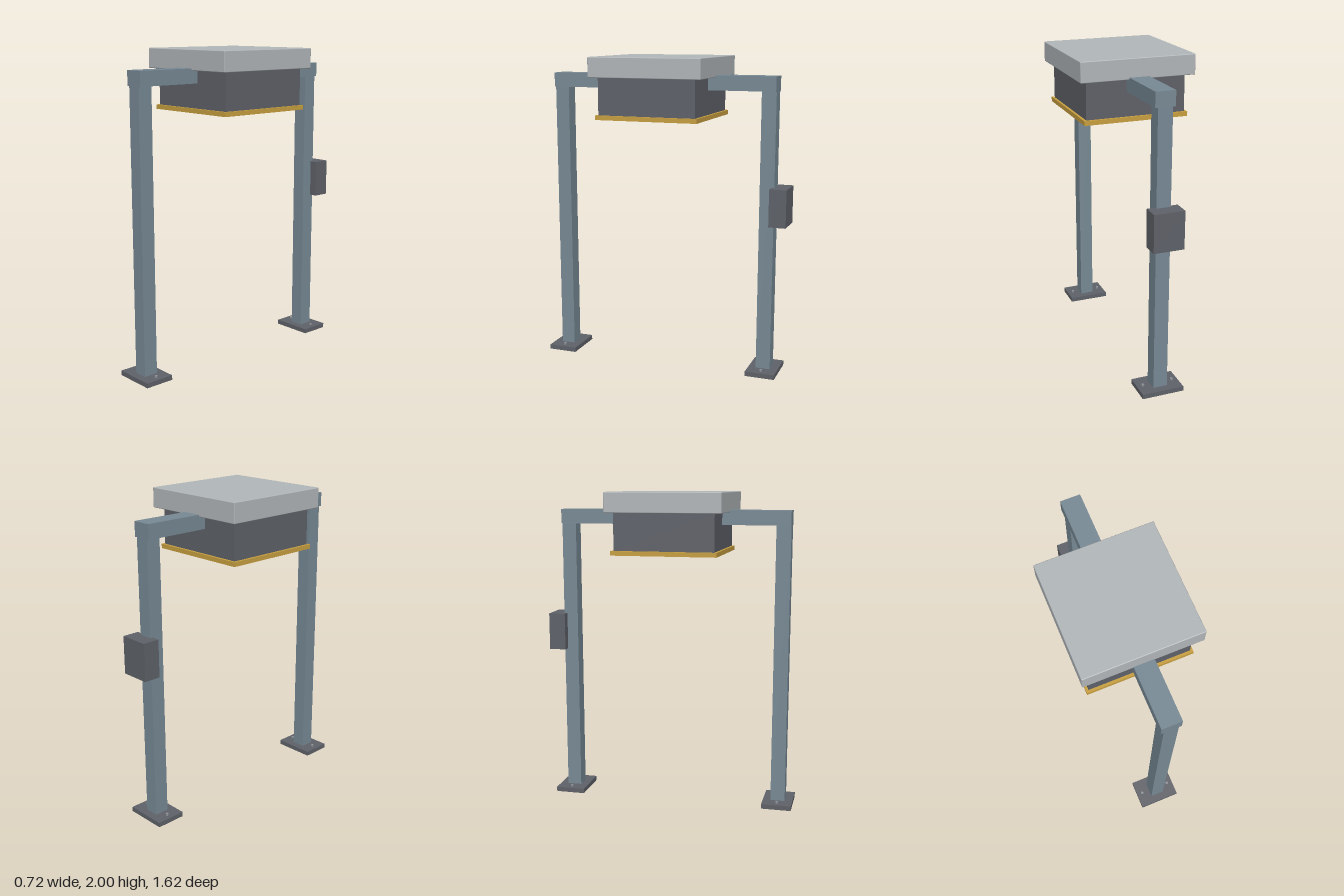
import * as THREE from 'three';
import { RoundedBoxGeometry } from 'three/addons/geometries/RoundedBoxGeometry.js';

const material = (name, color) => {
  const m = new THREE.MeshStandardMaterial({ color });
  m.name = name;
  return m;
};

export function createModel() {
  const steel = material('blue grey steel', 0x788a95);
  const dark = material('dark grey metal', 0x5f6269);
  const light = material('light grey metal', 0xb2b7ba);
  const gold = material('gold trim', 0xc9a040);
  const bolt = material('bolt metal', 0x8f9499);

  const model = new THREE.Group();
  model.name = 'overheadGantry';

  // Box given by its x half-width and its y and z ranges
  const addBox = (name, mat, halfX, [y0, y1], [z0, z1], bevel = 0) => {
    const size = [halfX * 2, y1 - y0, z1 - z0];
    const geometry = bevel ? new RoundedBoxGeometry(...size, 2, bevel) : new THREE.BoxGeometry(...size);
    const mesh = new THREE.Mesh(geometry, mat);
    mesh.name = name;
    mesh.position.set(0, (y0 + y1) / 2, (z0 + z1) / 2);
    model.add(mesh);
  };

  // Posts with bolted foot plates
  const boltGeometry = new THREE.CylinderGeometry(0.01, 0.01, 0.012, 6);
  for (const [side, z] of [['front', 0.713], ['back', -0.674]]) {
    addBox(`${side}FootPlate`, dark, 0.135, [0, 0.03], [z - 0.095, z + 0.095]);
    addBox(`${side}Post`, steel, 0.045, [0.03, 1.797], [z - 0.046, z + 0.046]);
    for (const x of [-0.097, 0.097]) {
      const mesh = new THREE.Mesh(boltGeometry, bolt);
      mesh.name = `${side}Bolt`;
      mesh.position.set(x, 0.036, z);
      model.add(mesh);
    }
  }

  // Cross beam resting on both posts
  addBox('crossBeam', steel, 0.062, [1.797, 1.888], [-0.72, 0.759]);

  // Hanging housing with its cap and bottom trim plate
  addBox('cap', light, 0.36, [1.875, 2], [-0.341, 0.381], 0.005);
  addBox('housing', dark, 0.313, [1.645, 1.876], [-0.293, 0.333]);
  addBox('trimPlate', gold, 0.329, [1.617, 1.645], [-0.309, 0.349]);

  // Control box on the back post
  addBox('controlBox', dark, 0.096, [0.973, 1.21], [-0.808, -0.7]);

  return model;
}
